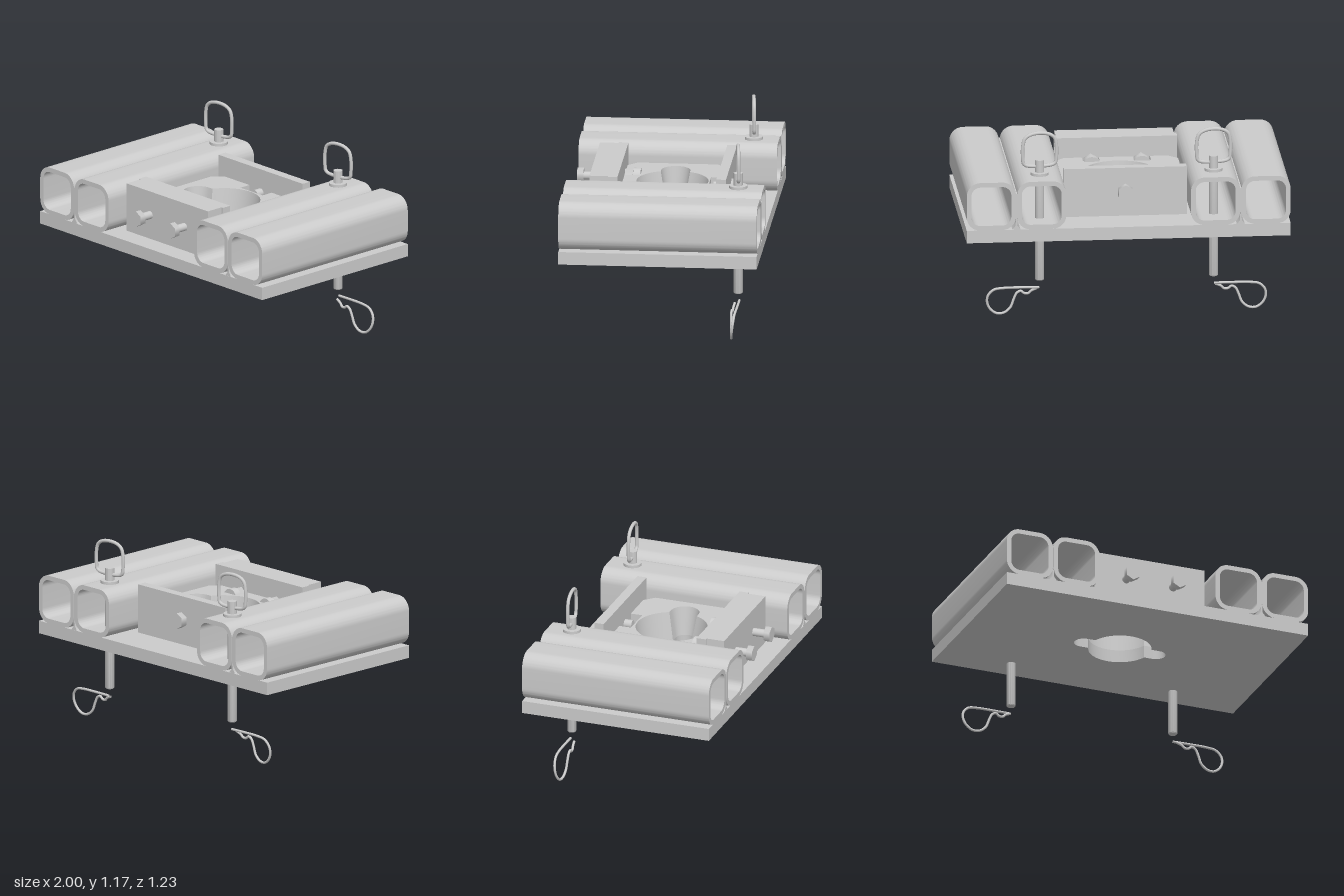
import * as THREE from 'three';
import { toCreasedNormals } from 'three/addons/utils/BufferGeometryUtils.js';

const grey = new THREE.MeshStandardMaterial({ color: 0xcccccc });
const greyDouble = new THREE.MeshStandardMaterial({ color: 0xcccccc, side: THREE.DoubleSide });
const V2 = (x, y) => new THREE.Vector2(x, y);

function add(parent, name, geometry, x = 0, y = 0, z = 0, material = grey) {
  const mesh = new THREE.Mesh(geometry, material);
  mesh.name = name;
  mesh.position.set(x, y, z);
  parent.add(mesh);
  return mesh;
}

const extrude = (shape, depth) => toCreasedNormals(
  new THREE.ExtrudeGeometry(shape, { depth, bevelEnabled: false, curveSegments: 10 }), 0.6);

// Plan outline (x, -z) pushed upwards
const slab = (shape, height) => extrude(shape, height).rotateX(-Math.PI / 2);

const polygon = (pts) => new THREE.Shape(pts.map(([x, y]) => V2(x, y)));

function roundRect(path, w, h, r) {
  const x = w / 2, y = h / 2;
  path.moveTo(-x + r, -y).lineTo(x - r, -y);
  path.absarc(x - r, -y + r, r, -Math.PI / 2, 0);
  path.absarc(x - r, y - r, r, 0, Math.PI / 2);
  path.absarc(-x + r, y - r, r, Math.PI / 2, Math.PI);
  path.absarc(-x + r, -y + r, r, Math.PI, Math.PI * 1.5);
  return path;
}

// Round opening with a rounded slot on each side
function keyhole(R, w, end) {
  const pts = [], a = Math.asin(w / R);
  const arc = (cx, r, from, to, n) => {
    for (let i = 0; i <= n; i++) {
      const t = from + (to - from) * i / n;
      pts.push(V2(cx + r * Math.cos(t), 0.005 + r * Math.sin(t)));
    }
  };
  arc(0, R, a, Math.PI - a, 24);
  arc(w - end, w, Math.PI / 2, Math.PI * 1.5, 12);
  arc(0, R, Math.PI + a, Math.PI * 2 - a, 24);
  arc(end - w, w, -Math.PI / 2, Math.PI / 2, 12);
  return pts;
}

// Sloping wall between two outlines
function funnel(lower, upper, y0, y1) {
  const pos = [], index = [], n = lower.length;
  for (let i = 0; i < n; i++) {
    pos.push(lower[i].x, y0, -lower[i].y, upper[i].x, y1, -upper[i].y);
    const a = 2 * i, b = 2 * ((i + 1) % n);
    index.push(a, a + 1, b, b, a + 1, b + 1);
  }
  const g = new THREE.BufferGeometry();
  g.setAttribute('position', new THREE.Float32BufferAttribute(pos, 3));
  g.setIndex(index);
  g.computeVertexNormals();
  return toCreasedNormals(g, 0.6);
}

// Cylinder or hexagonal prism lying along z
const rodZ = (r, length, sides = 24) =>
  new THREE.CylinderGeometry(r, r, length, sides).rotateX(Math.PI / 2);

const wire = (pts, r, closed, type = 'centripetal') => new THREE.TubeGeometry(
  new THREE.CatmullRomCurve3(pts.map(p => new THREE.Vector3(...p)), closed, type), 120, r, 10, closed);

export function createModel() {
  const model = new THREE.Group();
  model.name = 'pinnedMountingBracket';
  const inner = keyhole(0.195, 0.06, 0.3), outer = keyhole(0.222, 0.09, 0.325);

  // Base plate
  const base = polygon([[-1, -0.61], [1, -0.61], [1, 0.615], [-1, 0.615]]);
  base.holes.push(new THREE.Path(inner));
  add(model, 'basePlate', slab(base, 0.08), 0, 0.52, 0);

  // Centre block with clipped corners and pockets for the nuts
  const block = polygon([
    [-0.32, -0.3], [-0.21, -0.3], [-0.21, -0.225], [-0.105, -0.225], [-0.105, -0.3],
    [0.105, -0.3], [0.105, -0.225], [0.21, -0.225], [0.21, -0.3], [0.32, -0.3],
    [0.38, -0.24], [0.38, 0.25], [0.32, 0.31], [0.1, 0.31], [0.1, 0.235],
    [-0.1, 0.235], [-0.1, 0.31], [-0.32, 0.31], [-0.38, 0.25], [-0.38, -0.24]]);
  block.holes.push(new THREE.Path(outer));
  add(model, 'centreBlock', slab(block, 0.18), 0, 0.6, 0);
  add(model, 'openingFunnel', funnel(inner, outer, 0.6, 0.78), 0, 0, 0, greyDouble);

  // Cross bars in front of and behind the centre block
  const frontBar = polygon([[-0.365, -0.475], [0.365, -0.475], [0.365, -0.36], [0.38, -0.36],
    [0.38, -0.3], [-0.38, -0.3], [-0.38, -0.36], [-0.365, -0.36]]);
  add(model, 'frontBar', slab(frontBar, 0.307), 0, 0.6, 0);
  add(model, 'rearBar', new THREE.BoxGeometry(0.76, 0.307, 0.06), 0, 0.7535, -0.34);

  // Bolts through the bars
  for (const x of [-0.155, 0.155]) {
    const bolt = new THREE.Group();
    bolt.name = 'frontBolt';
    add(bolt, 'shank', rodZ(0.025, 0.36), 0, 0, 0.4);
    add(bolt, 'head', rodZ(0.05, 0.04, 6).toNonIndexed(), 0, 0, 0.575);
    add(bolt, 'nut', rodZ(0.05, 0.05, 6).toNonIndexed(), 0, 0, 0.275);
    add(bolt, 'endCap', rodZ(0.055, 0.045), 0, 0, 0.225);
    bolt.position.set(x, 0.755, 0);
    model.add(bolt);
  }
  const rearBolt = new THREE.Group();
  rearBolt.name = 'rearBolt';
  add(rearBolt, 'head', rodZ(0.05, 0.04, 6), 0, 0, -0.39);
  add(rearBolt, 'shank', rodZ(0.028, 0.15), 0, 0, -0.335);
  rearBolt.position.y = 0.755;
  model.add(rearBolt);

  // Hollow rails, seam welds, pins and clips on both sides
  for (const s of [-1, 1]) {
    const side = new THREE.Group();
    side.name = s > 0 ? 'leftSide' : 'rightSide';
    model.add(side);
    for (const x of [0.537, 0.848]) {
      const profile = roundRect(new THREE.Shape(), 0.304, 0.304, 0.085);
      profile.holes.push(roundRect(new THREE.Path(), 0.246, 0.246, 0.055));
      add(side, 'rail', extrude(profile, 1.225), s * x, 0.752, -0.615);
    }
    add(side, 'seamWeld', new THREE.BoxGeometry(0.03, 0.15, 1.222), s * 0.6925, 0.755, -0.0025);
    const fillet = polygon([[-0.025, 0], [0.025, 0], [0.006, 0.025], [0.003, 0.08], [-0.003, 0.08], [-0.006, 0.025]]);
    add(side, 'baseWeld', extrude(fillet, 1.222), s * 0.6925, 0.6, -0.6135);

    // Locking pin with flange and pull ring
    const pin = new THREE.Group();
    pin.name = 'lockingPin';
    const profile = [[0, 0.23], [0.024, 0.23], [0.028, 0.236], [0.028, 0.905], [0.056, 0.905],
      [0.056, 0.922], [0.028, 0.922], [0.028, 1], [0, 1]].map(([x, y]) => V2(x, y));
    add(pin, 'pinBody', toCreasedNormals(new THREE.LatheGeometry(profile, 28), 0.6));
    const ring = wire([[-0.08, 0.965, 0], [0.08, 0.965, 0], [0.1, 0.98, 0], [0.105, 1.01, 0],
      [0.105, 1.09, 0], [0.09, 1.14, 0], [0.045, 1.165, 0], [-0.045, 1.165, 0],
      [-0.09, 1.14, 0], [-0.105, 1.09, 0], [-0.105, 1.01, 0], [-0.1, 0.98, 0]], 0.011, true);
    add(pin, 'pullRing', ring).rotation.y = 0.11;
    pin.position.set(s * 0.537, 0, -0.46);
    side.add(pin);

    // Spring clip below the pin
    const clip = [[0.54, 0.184, -0.467], [0.65, 0.185, -0.467], [0.76, 0.183, -0.465],
      [0.82, 0.172, -0.461], [0.855, 0.135, -0.456], [0.86, 0.09, -0.45], [0.84, 0.045, -0.444],
      [0.8, 0.016, -0.44], [0.755, 0.018, -0.436], [0.715, 0.05, -0.433], [0.695, 0.1, -0.431],
      [0.675, 0.14, -0.43], [0.65, 0.152, -0.43], [0.63, 0.138, -0.431], [0.605, 0.137, -0.432],
      [0.585, 0.155, -0.435], [0.55, 0.171, -0.44]];
    add(side, 'springClip', wire(clip.map(([x, y, z]) => [s * x, y, z]), 0.008, false), 0, 0, 0, greyDouble);
  }
  return model;
}
